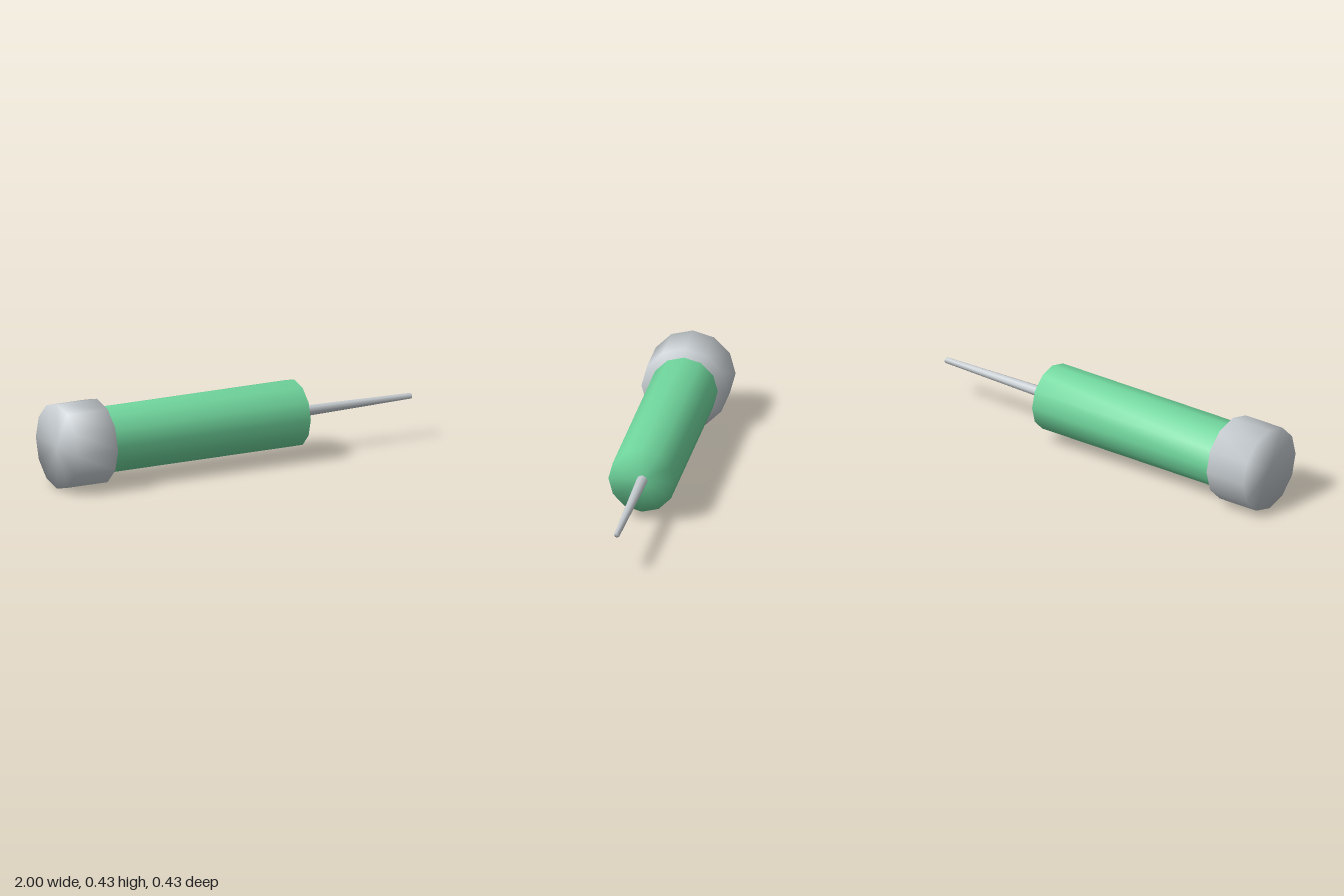
import * as THREE from 'three';
import { mergeVertices } from 'three/addons/utils/BufferGeometryUtils.js';

const CENTER_Y = 0.216;

// Closed cylinder along x from x0 to x1, with normals smoothed over the rims
function rod(name, x0, x1, r0, r1, sides, material) {
  let geometry = new THREE.CylinderGeometry(r1, r0, x1 - x0, sides);
  geometry.deleteAttribute('normal');
  geometry.deleteAttribute('uv');
  geometry = mergeVertices(geometry, 1e-4);
  geometry.rotateZ(-Math.PI / 2);
  geometry.translate((x0 + x1) / 2, CENTER_Y, 0);
  geometry.computeVertexNormals();
  const mesh = new THREE.Mesh(geometry, material);
  mesh.name = name;
  return mesh;
}

export function createModel() {
  const metal = new THREE.MeshStandardMaterial({ color: 0xc6ccd0 });
  metal.name = 'light grey metal';
  const green = new THREE.MeshStandardMaterial({ color: 0x70d69d });
  green.name = 'green';

  const model = new THREE.Group();
  model.name = 'capped cylinder with needle';
  model.add(
    rod('endCap', -1, -0.773, 0.2155, 0.2155, 12, metal),
    rod('barrel', -0.775, 0.342, 0.169, 0.169, 12, green),
    rod('needle', 0.34, 1, 0.029, 0.015, 8, metal)
  );
  return model;
}
